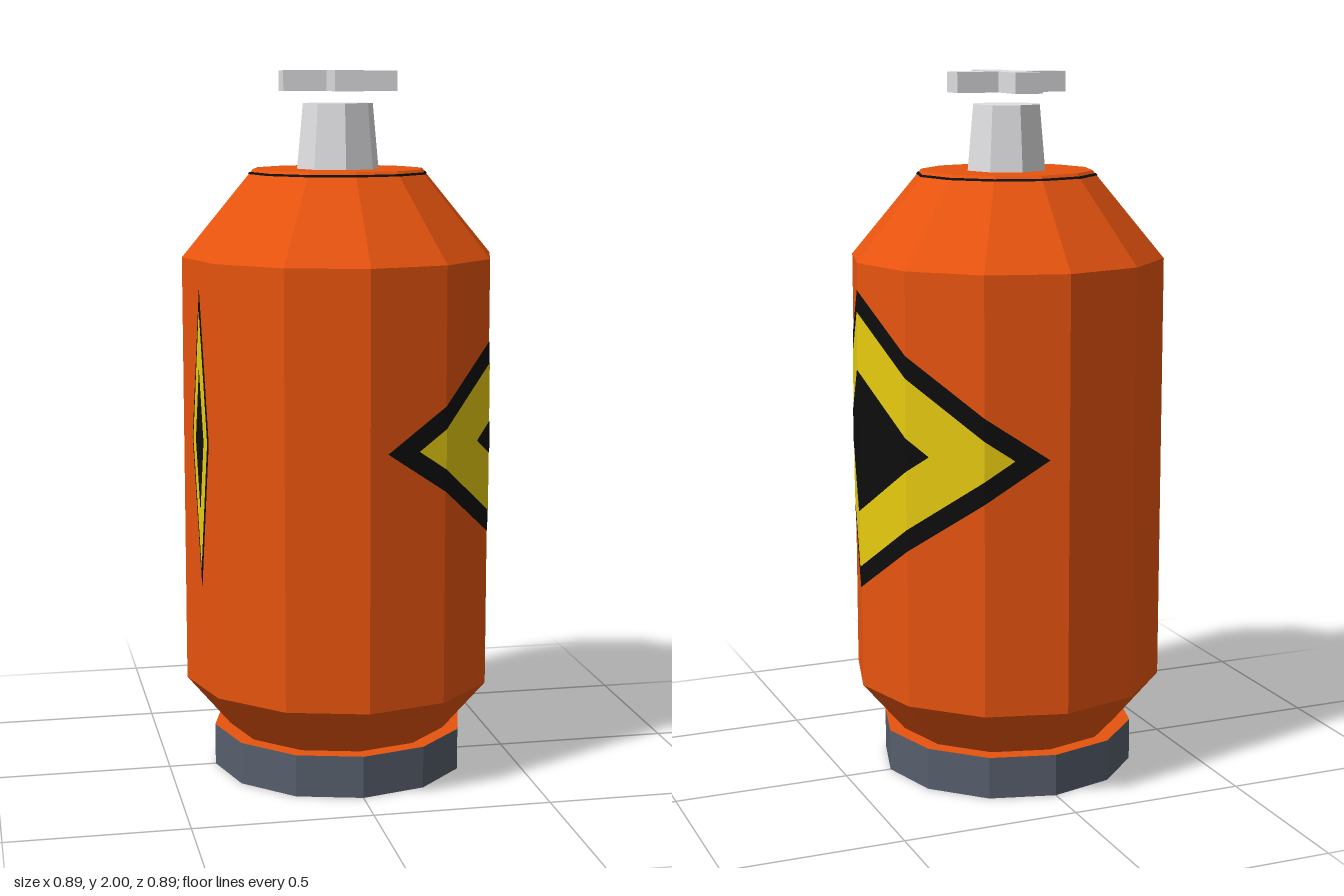
import * as THREE from 'three';

const SIDES = 12;
const RADIUS = 0.445;
const MID_Y = 0.985;

function material(name, color) {
  const m = new THREE.MeshStandardMaterial({ color, flatShading: true });
  m.name = name;
  return m;
}

// Point on the twelve-sided wall; s counts facets from +x towards +z
function wallPoint(s, y, r) {
  const i = Math.floor(s), t = s - i, step = (Math.PI * 2) / SIDES;
  const a = i * step, b = a + step;
  return [
    r * (Math.cos(a) * (1 - t) + Math.cos(b) * t),
    y,
    r * (Math.sin(a) * (1 - t) + Math.sin(b) * t),
  ];
}

// Diamond painted on the wall, cut at every facet edge it crosses
function diamond(centre, halfWidth, halfHeight, lift) {
  const s0 = centre - halfWidth, s1 = centre + halfWidth;
  const cuts = [s0, centre, s1];
  for (let i = Math.ceil(s0); i < s1; i++) if (i !== centre) cuts.push(i);
  cuts.sort((a, b) => a - b);
  const positions = [], index = [];
  cuts.forEach((s, i) => {
    const h = halfHeight * (1 - Math.abs(s - centre) / halfWidth);
    positions.push(...wallPoint(s, MID_Y - h, RADIUS + lift), ...wallPoint(s, MID_Y + h, RADIUS + lift));
    if (i > 0) {
      const a = 2 * i - 2;
      index.push(a, a + 1, a + 3, a, a + 3, a + 2);
    }
  });
  const g = new THREE.BufferGeometry();
  g.setAttribute('position', new THREE.Float32BufferAttribute(positions, 3));
  g.setIndex(index);
  g.computeVertexNormals();
  return g;
}

export function createModel() {
  const orange = material('orange paint', 0xe8540f);
  const yellow = material('yellow paint', 0xe8cc10);
  const black = material('black paint', 0x0d0d0d);
  const steel = material('light steel', 0xe0e0e3);
  const slate = material('slate grey', 0x575f6c);

  const model = new THREE.Group();
  model.name = 'gasCanister';
  const add = (name, geometry, mat, parent = model) => {
    const mesh = new THREE.Mesh(geometry, mat);
    mesh.name = name;
    parent.add(mesh);
    return mesh;
  };
  const frustum = (name, rTop, rBottom, y0, y1, mat, sides = SIDES, open = false) => {
    const mesh = add(name, new THREE.CylinderGeometry(rTop, rBottom, y1 - y0, sides, 1, open), mat);
    mesh.position.y = (y0 + y1) / 2;
    return mesh;
  };

  // Foot with painted upper ledge
  frustum('foot', 0.365, 0.365, 0, 0.12, [slate, orange, slate]);

  // Tank: lower taper, straight wall, shoulder
  frustum('lowerTaper', RADIUS, 0.318, 0.118, 0.268, orange, SIDES, true);
  frustum('tankWall', RADIUS, RADIUS, 0.268, 1.485, orange, SIDES, true);
  frustum('shoulder', 0.243, RADIUS, 1.485, 1.728, orange);

  // Thin line around the top of the shoulder
  frustum('shoulderLine', 0.2515, 0.2575, 1.7145, 1.7205, black, SIDES, true);

  // Warning diamonds: a large one on the left side, a narrow one on the right side
  const layers = [
    ['Border', 2.77, 0.425, 0.0015, black],
    ['Field', 2.36, 0.365, 0.003, yellow],
    ['Core', 1.3, 0.203, 0.0045, black],
  ];
  const signs = [['largeDiamond', 0, 1], ['narrowDiamond', 5.455, 1 / 11]];
  for (const [name, centre, scale] of signs) {
    const sign = new THREE.Group();
    sign.name = name;
    for (const [part, w, h, lift, mat] of layers) {
      add(name + part, diamond(centre, w * scale, h, lift), mat, sign);
    }
    model.add(sign);
  }

  // Valve neck
  frustum('neck', 0.1, 0.117, 1.728, 1.91, steel, 8);

  // Cross-shaped valve handle
  const L = 0.162, W = 0.04;
  const corners = [[L, -W], [L, W], [W, W]];
  const outline = [];
  for (let i = 0; i < 4; i++) {
    const c = Math.round(Math.cos((i * Math.PI) / 2)), s = Math.round(Math.sin((i * Math.PI) / 2));
    for (const [x, y] of corners) outline.push(new THREE.Vector2(x * c - y * s, x * s + y * c));
  }
  const cross = new THREE.ExtrudeGeometry(new THREE.Shape(outline), { depth: 0.057, bevelEnabled: false });
  cross.rotateX(-Math.PI / 2);
  add('valveHandle', cross, steel).position.y = 1.943;

  return model;
}
